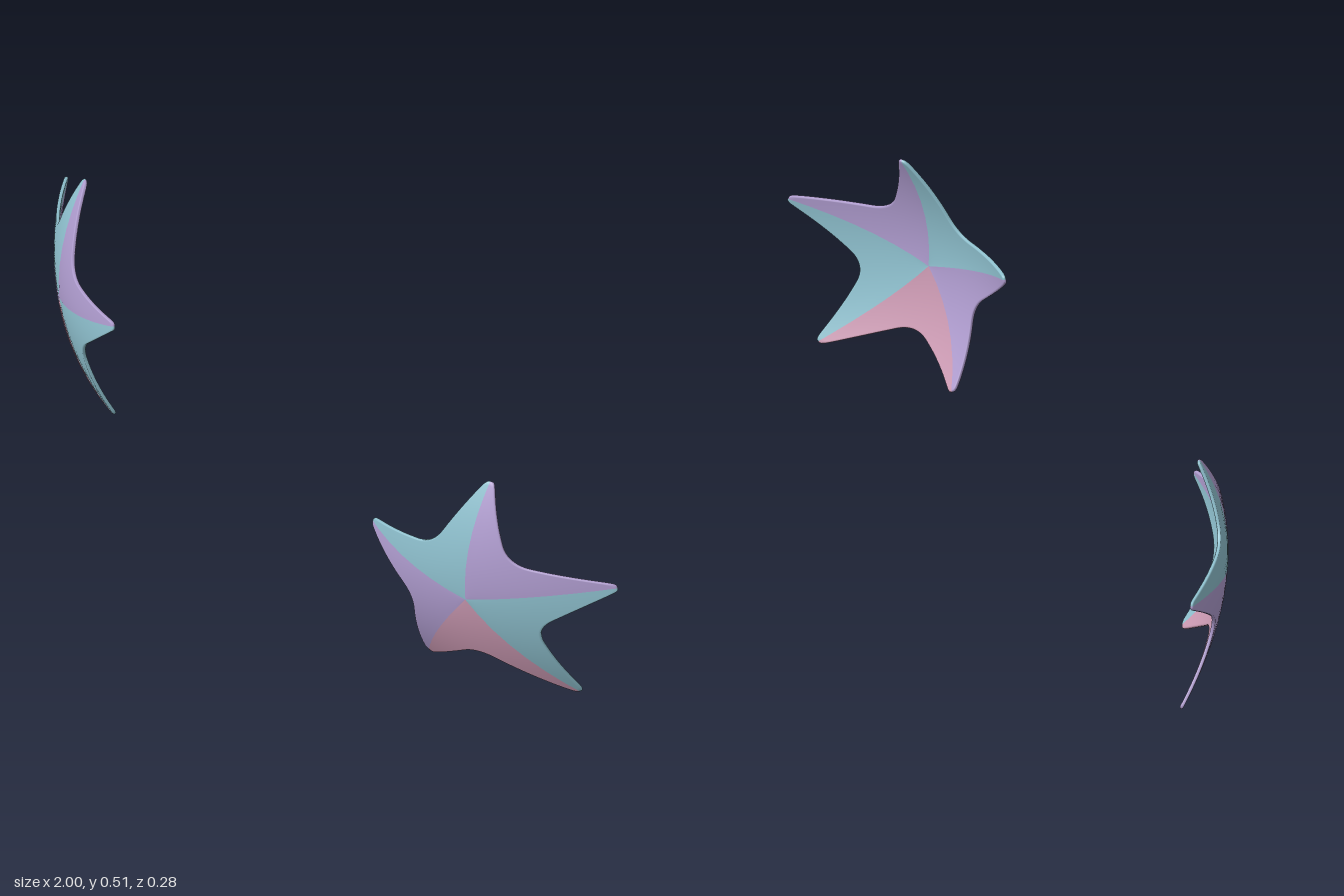
import * as THREE from 'three';

const TEAL = 0x8fc1cf, PURPLE = 0xb09dd0, PINK = 0xcc9ab3;
const CENTRE_X = 0.735, CENTRE_Y = 0.228, HALF_THICKNESS = 0.004;

// Each sector runs from one arm tip to the next: bisector angle in degrees and colour
const SECTORS = [
  ['upperLeftSector', 54, PURPLE],
  ['leftSector', -18, TEAL],
  ['bottomSector', -90, PINK],
  ['rightSector', -162, PURPLE],
  ['upperRightSector', 126, TEAL],
];

// Half of a sector's outline (across, outward), from the notch to the rounded tip
const half = [[0, 0.149], [0.025, 0.154], [0.055, 0.1705], [0.1, 0.197],
  [0.1445, 0.2228], [0.157, 0.2275], [0.1634, 0.2249]];
const outline = new THREE.SplineCurve([
  ...half.slice(1).reverse().map(([q, p]) => new THREE.Vector2(-q, p)),
  ...half.map(([q, p]) => new THREE.Vector2(q, p)),
]).getPoints(72);

// Rows from the centre over the front, around the rim and back: [radius, thickness side]
const radii = [0, 0.15, 0.3, 0.45, 0.6, 0.75, 0.88, 0.97, 0.992];
const rows = [
  ...radii.map(r => [r, 1]),
  [1, 0.5], [1, -0.5],
  ...radii.slice().reverse().map(r => [r, -1]),
];

// Point on the domed, outward-turned shell; side is +1 or -1
function shellPoint(u, v, side, offset) {
  const z = 0.078 - 0.5 * side * u - 1.117 * u * u + 0.08 * v - 1.153 * v * v;
  const normal = new THREE.Vector3(0.5 * side + 2.234 * u, -0.08 + 2.306 * v, 1).normalize();
  return new THREE.Vector3(u, v, z).addScaledVector(normal, offset);
}

function sectorGeometry(angle, side) {
  const c = Math.cos(angle), s = Math.sin(angle);
  const positions = [], indices = [];
  const n = outline.length;
  rows.forEach(([r, t], i) => {
    outline.forEach((o, j) => {
      const u = r * (o.y * c - o.x * s), v = r * (o.y * s + o.x * c);
      positions.push(...shellPoint(u, v, side, t * HALF_THICKNESS).toArray());
      if (i === rows.length - 1 || j === n - 1) return;
      const a = i * n + j, b = a + n;
      if (i < rows.length - 2) indices.push(a, b, b + 1);
      if (i > 0) indices.push(a, b + 1, a + 1);
    });
  });
  const geometry = new THREE.BufferGeometry();
  geometry.setAttribute('position', new THREE.Float32BufferAttribute(positions, 3));
  geometry.setIndex(indices);
  geometry.computeVertexNormals();
  return geometry;
}

function createStar(name, side) {
  const star = new THREE.Group();
  star.name = name;
  for (const [sectorName, degrees, color] of SECTORS) {
    const mesh = new THREE.Mesh(
      sectorGeometry(THREE.MathUtils.degToRad(degrees), side),
      new THREE.MeshStandardMaterial({ color, side: THREE.DoubleSide }),
    );
    mesh.name = sectorName;
    star.add(mesh);
  }
  star.position.set(side * CENTRE_X, CENTRE_Y, 0);
  return star;
}

export function createModel() {
  const model = new THREE.Group();
  model.name = 'starPair';
  model.add(createStar('leftStar', 1), createStar('rightStar', -1));
  return model;
}
